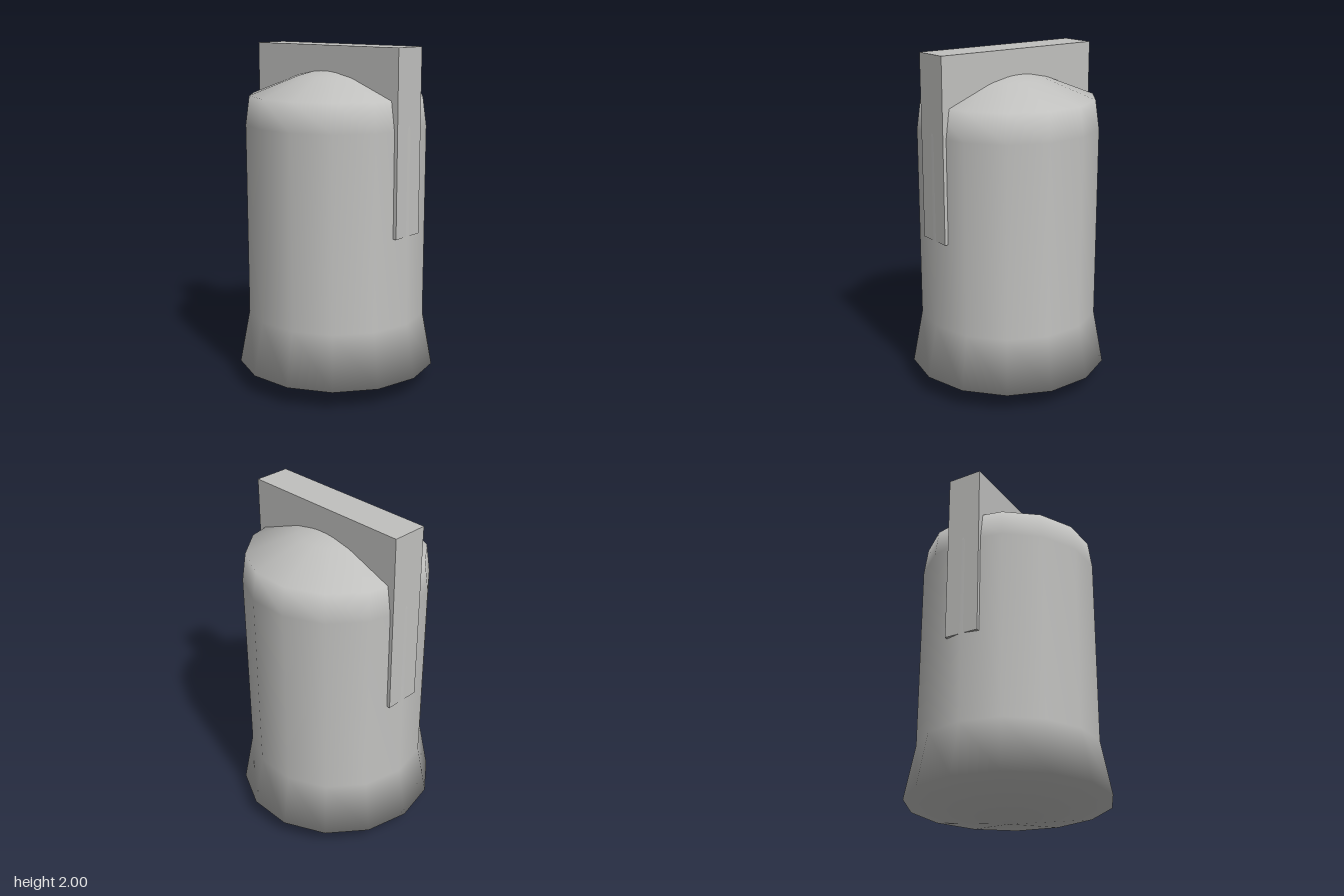
import * as THREE from 'three';

export function createModel() {
  const model = new THREE.Group();
  const grey = new THREE.MeshStandardMaterial({ color: 0xc0c0be });
  grey.name = 'grey';

  // Fourteen-sided body: shallow pointed base, flared skirt, straight wall, domed top
  const profile = [
    [0, 0], [0.59, 0.115], [0.53, 0.43], [0.53, 1.55], [0.507, 1.715],
    [0.22, 1.826], [0.12, 1.852], [0.05, 1.863], [0, 1.865],
  ].map(([r, y]) => new THREE.Vector2(r, y));
  const body = new THREE.Mesh(new THREE.LatheGeometry(profile, 14, Math.PI / 2), grey);
  body.name = 'body';
  model.add(body);

  // Upright slab set through the upper half of the body
  const slab = new THREE.Mesh(new THREE.BoxGeometry(1.054, 1.05, 0.21), grey);
  slab.name = 'crossSlab';
  slab.position.y = 1.475;
  model.add(slab);

  return model;
}
